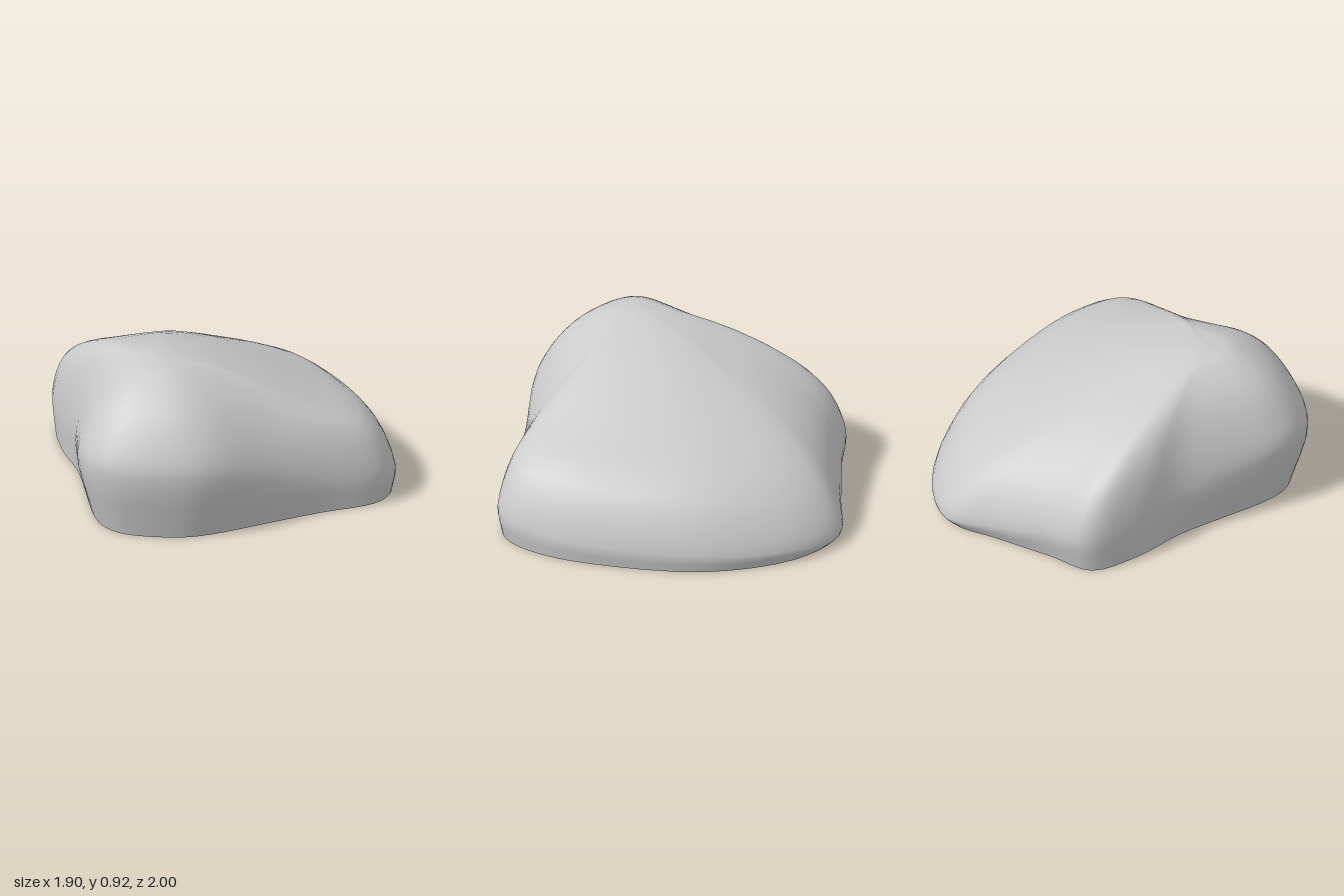
import * as THREE from 'three';

// Spokes run from the widest outline to the crown:
// [x, z, height of widest point, base inset, heights at 10%, 35% and 70% of the way in]
const SPOKES = [
  [0.945, 0.30, 0.13, 0.01, 0.42, 0.61, 0.815],
  [0.92, 0.62, 0.14, 0.01, 0.43, 0.61, 0.82],
  [0.85, 0.82, 0.16, 0.02, 0.43, 0.61, 0.825],
  [0.74, 0.905, 0.18, 0.03, 0.43, 0.62, 0.835],
  [0.40, 0.91, 0.20, 0.04, 0.44, 0.66, 0.855],
  [0.10, 0.94, 0.26, 0.07, 0.48, 0.71, 0.873],
  [-0.28, 1.00, 0.38, 0.13, 0.57, 0.76, 0.886],
  [-0.50, 0.975, 0.40, 0.14, 0.58, 0.77, 0.89],
  [-0.84, 0.80, 0.40, 0.16, 0.57, 0.76, 0.887],
  [-0.94, 0.65, 0.41, 0.18, 0.57, 0.76, 0.885],
  [-0.95, 0.48, 0.40, 0.19, 0.57, 0.76, 0.885],
  [-0.85, 0.18, 0.33, 0.13, 0.54, 0.755, 0.885],
  [-0.74, -0.15, 0.26, 0.06, 0.51, 0.745, 0.88],
  [-0.71, -0.47, 0.24, 0.04, 0.51, 0.725, 0.863],
  [-0.61, -0.75, 0.24, 0.03, 0.49, 0.695, 0.845],
  [-0.35, -0.82, 0.18, 0.03, 0.44, 0.67, 0.84],
  [0.00, -0.92, 0.10, 0.03, 0.37, 0.625, 0.825],
  [0.29, -1.00, 0.06, 0.03, 0.31, 0.575, 0.81],
  [0.57, -0.83, 0.08, 0.02, 0.33, 0.565, 0.805],
  [0.84, -0.37, 0.11, 0.01, 0.39, 0.585, 0.81],
];
const CROWN = new THREE.Vector3(-0.42, 0.915, 0.39);
const AROUND = 80, UP = 24;

// Profile of one spoke, from the ground to the crown
function spokeCurve([x, z, wideY, inset, h1, h2, h3]) {
  const at = (f, y) => new THREE.Vector3(
    x + (CROWN.x - x) * f, y, z + (CROWN.z - z) * f);
  return new THREE.CatmullRomCurve3([
    at(inset, 0), at(0, wideY), at(0.1, h1), at(0.35, h2),
    at(0.7, h3), at(0.9, 0.85 * 0.91 + 0.15 * h3), CROWN.clone()]);
}

// Skin the spokes with closed horizontal rings, leaving the underside open
function boulderGeometry() {
  const spokes = SPOKES.map(spokeCurve);
  const positions = [], index = [];
  for (let j = 0; j < UP; j++) {
    const ring = new THREE.CatmullRomCurve3(spokes.map(s => s.getPoint(j / UP)), true);
    for (let i = 0; i < AROUND; i++) {
      const p = ring.getPoint(i / AROUND);
      positions.push(p.x, j === 0 ? 0 : Math.max(0, p.y), p.z);
    }
  }
  positions.push(...CROWN.toArray());
  const top = AROUND * UP;
  for (let j = 0; j < UP; j++) {
    for (let i = 0; i < AROUND; i++) {
      const a = j * AROUND + i, b = j * AROUND + (i + 1) % AROUND;
      if (j === UP - 1) index.push(a, top, b);
      else index.push(a, a + AROUND, b, b, a + AROUND, b + AROUND);
    }
  }
  const geometry = new THREE.BufferGeometry();
  geometry.setAttribute('position', new THREE.Float32BufferAttribute(positions, 3));
  geometry.setIndex(index);
  geometry.computeVertexNormals();
  return geometry;
}

export function createModel() {
  const group = new THREE.Group();
  group.name = 'boulder';
  const shell = new THREE.Mesh(boulderGeometry(),
    new THREE.MeshStandardMaterial({ color: 0xcccccc, side: THREE.DoubleSide }));
  shell.name = 'boulderShell';
  group.add(shell);
  return group;
}
